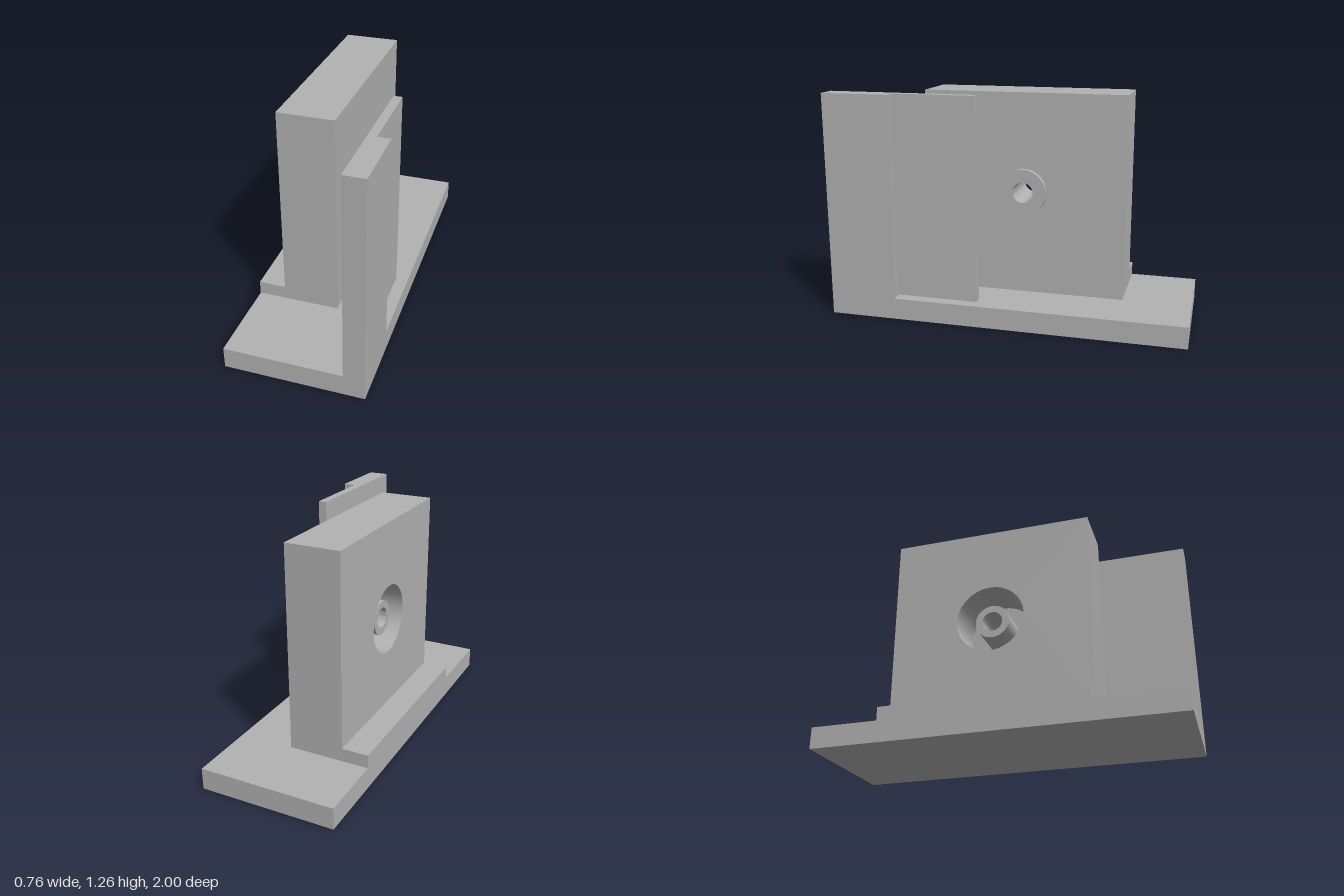
import * as THREE from 'three';
import { toCreasedNormals } from 'three/addons/utils/BufferGeometryUtils.js';

export function createModel() {
  const model = new THREE.Group();
  model.name = 'bearingBracket';
  const grey = new THREE.MeshStandardMaterial({ color: 0xb2b2b2 });
  grey.name = 'grey';

  const add = (name, geometry, parent = model) => {
    const mesh = new THREE.Mesh(geometry, grey);
    mesh.name = name;
    parent.add(mesh);
    return mesh;
  };
  // Box given by its limits on each axis
  const box = (x0, x1, y0, y1, z0, z1) =>
    new THREE.BoxGeometry(x1 - x0, y1 - y0, z1 - z0)
      .translate((x0 + x1) / 2, (y0 + y1) / 2, (z0 + z1) / 2);

  const baseTop = 0.12, top = 1.26;
  add('basePlate', box(-0.38, 0.38, 0, baseTop, -1, 1));

  // Upright fence: thick at the front, stepped down to a thin tongue
  const plan = new THREE.Shape([
    [0.265, 0.16], [0.312, 0.16], [0.312, 0.62], [0.38, 0.62], [0.38, 1], [0.265, 1],
  ].map(([x, z]) => new THREE.Vector2(x, z)));
  add('fence', new THREE.ExtrudeGeometry(plan, { depth: top - baseTop, bevelEnabled: false })
    .rotateX(Math.PI / 2).translate(0, top, 0));

  // Bearing block with a low foot along its outer side
  const block = new THREE.Group();
  block.name = 'bearingBlock';
  model.add(block);
  const x0 = -0.23, x1 = 0.075, z0 = -0.62, z1 = 0.52;
  const boreY = 0.707, boreZ = -0.05, bossR = 0.131, pocketR = 0.194;
  add('foot', box(-0.38, x0, baseTop, 0.195, z0, z1), block);

  // Block edges: a box without its two broad faces
  const rim = box(x0, x1, baseTop, top, z0, z1);
  rim.setIndex(Array.from(rim.index.array).slice(12));
  rim.clearGroups();
  add('blockSides', rim, block);

  // Broad faces, each opened for the bore; dir is the way the face looks along x
  const broadFace = (dir, x, radius) => {
    const a = Math.min(-dir * z0, -dir * z1), b = Math.max(-dir * z0, -dir * z1);
    const shape = new THREE.Shape([
      new THREE.Vector2(a, baseTop), new THREE.Vector2(b, baseTop),
      new THREE.Vector2(b, top), new THREE.Vector2(a, top),
    ]);
    shape.holes.push(new THREE.Path().absarc(-dir * boreZ, boreY, radius, 0, Math.PI * 2, true));
    return new THREE.ShapeGeometry(shape, 24).rotateY(dir * Math.PI / 2).translate(x, 0, 0);
  };
  add('innerFace', broadFace(1, x1, bossR), block);
  add('outerFace', broadFace(-1, x0, pocketR), block);

  // Boss, through hole, inner sleeve and round pocket as one turned profile
  const profile = [
    [bossR, x1], [bossR, 0.105], [0.058, 0.105], [0.058, -0.19],
    [0.097, -0.19], [0.097, 0.035], [pocketR, 0.035], [pocketR, x0],
  ].map(([r, x]) => new THREE.Vector2(r, x));
  const bore = toCreasedNormals(new THREE.LatheGeometry(profile, 48), 0.5);
  add('boreAndBoss', bore.rotateZ(-Math.PI / 2).translate(0, boreY, boreZ), block);

  return model;
}
